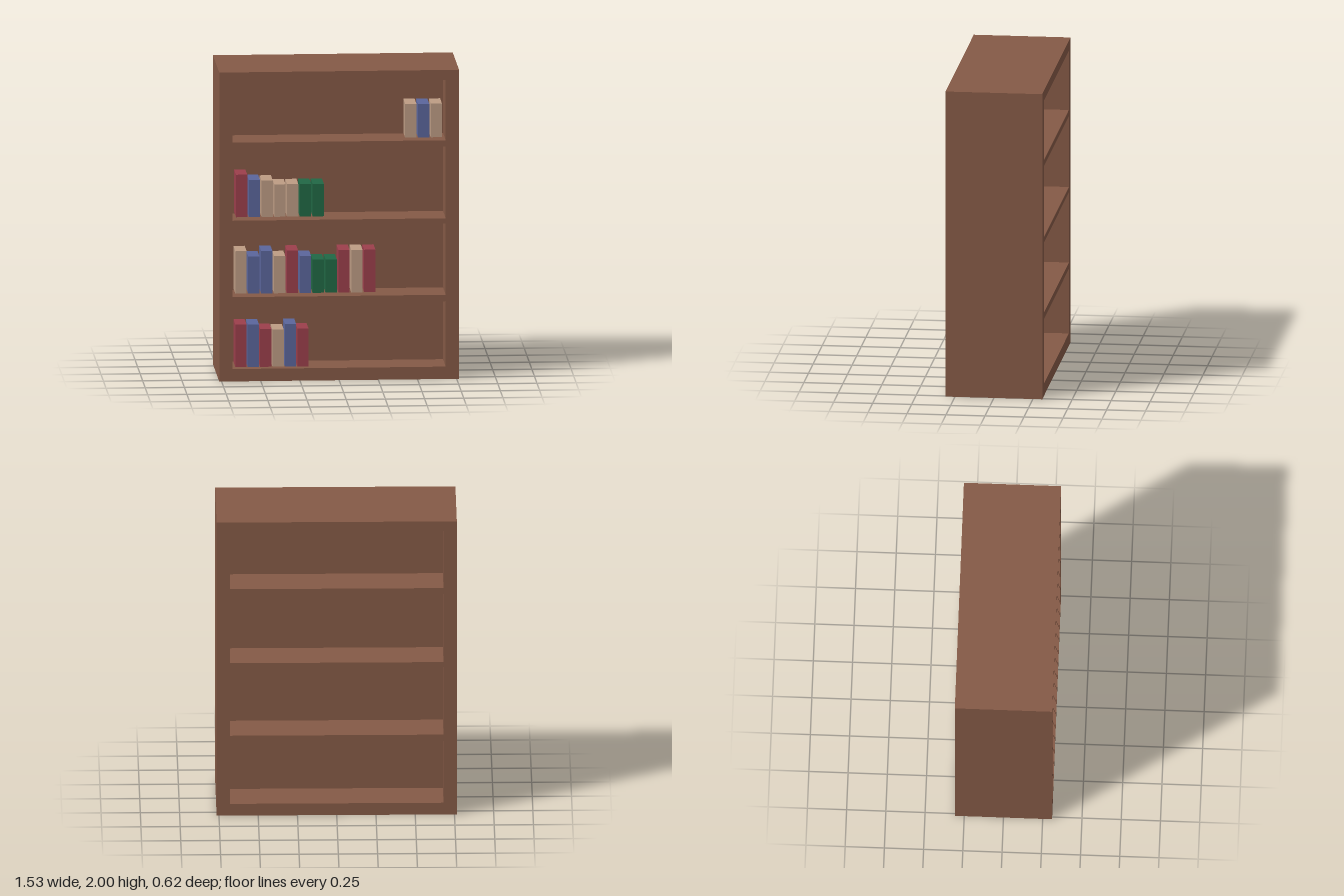
import * as THREE from 'three';

const W = 1.53, H = 2, D = 0.62;
const PALETTE = { r: 0x9c3f4c, b: 0x5b669c, t: 0xbd9c84, g: 0x216845 };

// Bays from bottom to top: opening heights and the row of books in each
const BAYS = [
  { y0: 0.08, y1: 0.503, base: 0.08, x: -0.622, pitch: 0.079, colors: 'rbrtbr',
    tops: [0.355, 0.355, 0.325, 0.32, 0.355, 0.325] },
  { y0: 0.545, y1: 1.005, base: 0.555, x: -0.622, pitch: 0.0822, colors: 'tbbtrbggrtr',
    tops: [0.83, 0.795, 0.83, 0.795, 0.83, 0.795, 0.77, 0.77, 0.83, 0.83, 0.83] },
  { y0: 1.04, y1: 1.505, base: 1.05, x: -0.618, pitch: 0.0815, colors: 'rbtttgg',
    tops: [1.325, 1.29, 1.285, 1.26, 1.26, 1.26, 1.26] },
  { y0: 1.545, y1: 1.935, base: 1.553, x: 0.462, pitch: 0.0815, colors: 'tbt',
    tops: [1.77, 1.77, 1.77] },
];

function rect(Type, x0, y0, x1, y1) {
  const s = new Type();
  s.moveTo(x0, y0);
  s.lineTo(x1, y0);
  s.lineTo(x1, y1);
  s.lineTo(x0, y1);
  s.closePath();
  return s;
}

export function createModel() {
  const model = new THREE.Group();
  model.name = 'bookcase';
  const wood = new THREE.MeshStandardMaterial({ color: 0x855a46 });
  const covers = {};
  for (const key in PALETTE) covers[key] = new THREE.MeshStandardMaterial({ color: PALETTE[key] });

  // Case: sides, top, base and shelves in one piece, open through each bay
  const outline = rect(THREE.Shape, -W / 2, 0, W / 2, H);
  for (const bay of BAYS) outline.holes.push(rect(THREE.Path, -0.68, bay.y0, 0.68, bay.y1));
  const caseGeo = new THREE.ExtrudeGeometry(outline, { depth: D, bevelEnabled: false });
  caseGeo.translate(0, 0, -D / 2);
  const frame = new THREE.Mesh(caseGeo, wood);
  frame.name = 'caseFrame';
  model.add(frame);

  // Middle panel that divides the front bays from the back bays
  BAYS.forEach((bay, i) => {
    const panel = new THREE.Mesh(new THREE.BoxGeometry(1.36, bay.y1 - bay.y0, 0.09), wood);
    panel.position.y = (bay.y0 + bay.y1) / 2;
    panel.name = `dividerPanel${i + 1}`;
    model.add(panel);
  });

  // Books stand on the front shelves, against the panel
  const bookFront = 0.242, bookBack = 0.05;
  BAYS.forEach((bay, i) => {
    const row = new THREE.Group();
    row.name = `bookRow${i + 1}`;
    bay.tops.forEach((top, k) => {
      const height = top - bay.base;
      const book = new THREE.Mesh(
        new THREE.BoxGeometry(0.072, height, bookFront - bookBack), covers[bay.colors[k]]);
      book.position.set(bay.x + k * bay.pitch, bay.base + height / 2, (bookFront + bookBack) / 2);
      book.name = `book${k + 1}`;
      row.add(book);
    });
    model.add(row);
  });
  return model;
}
